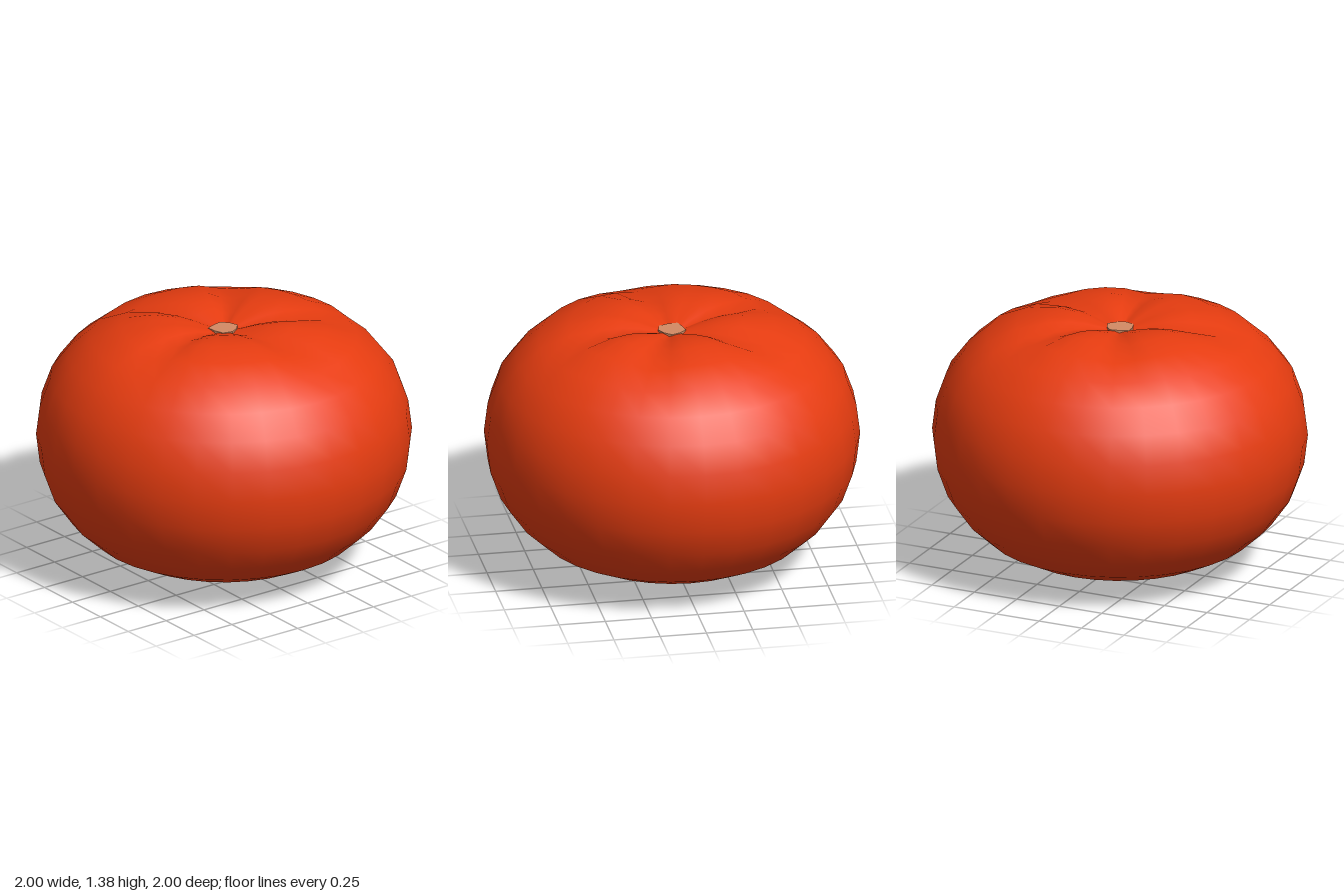
import * as THREE from 'three';
import { mergeVertices } from 'three/addons/utils/BufferGeometryUtils.js';

const SEGMENTS = 32;
// Directions of the furrows around the stem scar, from +x towards +z, in degrees
const FURROWS = [78.75, 157.5, -140, -67.5, -9];

// How strongly a direction lies in a furrow, 0 to 1
function furrow(angle) {
  let sum = 0;
  for (const f of FURROWS) {
    const d = ((angle - f + 540) % 360) - 180;
    sum += Math.exp(-((d / 12) ** 2));
  }
  return Math.min(sum, 1);
}

// Squat fruit body: turned profile with furrows pressed into the top
function makeBody() {
  const profile = [
    [0, 0], [0.2, 0.01], [0.38, 0.04], [0.56, 0.1], [0.71, 0.175], [0.83, 0.285],
    [0.925, 0.42], [0.98, 0.575], [1, 0.74], [0.98, 0.9], [0.925, 1.055], [0.83, 1.18],
    [0.71, 1.285], [0.55, 1.355], [0.38, 1.385], [0.27, 1.38], [0.18, 1.362], [0.09, 1.335], [0, 1.315],
  ].map(([r, y]) => new THREE.Vector2(r, y));
  let geo = new THREE.LatheGeometry(profile, SEGMENTS);
  geo.deleteAttribute('normal');
  geo.deleteAttribute('uv');
  geo = mergeVertices(geo, 1e-4);
  const p = geo.attributes.position;
  for (let i = 0; i < p.count; i++) {
    const x = p.getX(i), y = p.getY(i), z = p.getZ(i);
    if (y < 1) continue;
    const r = Math.hypot(x, z);
    // deepest on the shoulder ridge, fading to the scar and the sides
    const fade = r < 0.36 ? r / 0.36 : Math.max(0, 1 - (r - 0.36) / 0.5);
    const angle = THREE.MathUtils.radToDeg(Math.atan2(z, x));
    p.setY(i, y - 0.05 * fade * furrow(angle));
  }
  geo.computeVertexNormals();
  return geo;
}

// Thin uneven scar where the stem was
function makeScar() {
  const radii = [0.075, 0.07, 0.08, 0.07, 0.075, 0.065, 0.085, 0.07, 0.08];
  const pts = radii.map((r, i) => {
    const a = (i / radii.length) * Math.PI * 2;
    return new THREE.Vector2(Math.cos(a) * r, Math.sin(a) * r);
  });
  const geo = new THREE.ExtrudeGeometry(new THREE.Shape(pts), { depth: 0.02, bevelEnabled: false });
  return geo.rotateX(-Math.PI / 2).translate(0, 1.316, 0);
}

export function createModel() {
  const group = new THREE.Group();
  group.name = 'tomato';

  const skin = new THREE.MeshStandardMaterial({ color: 0xe63c10 });
  skin.name = 'red skin';
  const scarTan = new THREE.MeshStandardMaterial({ color: 0xd38a64 });
  scarTan.name = 'scar tan';

  const body = new THREE.Mesh(makeBody(), skin);
  body.name = 'fruitBody';
  const scar = new THREE.Mesh(makeScar(), scarTan);
  scar.name = 'stemScar';
  group.add(body, scar);
  return group;
}
